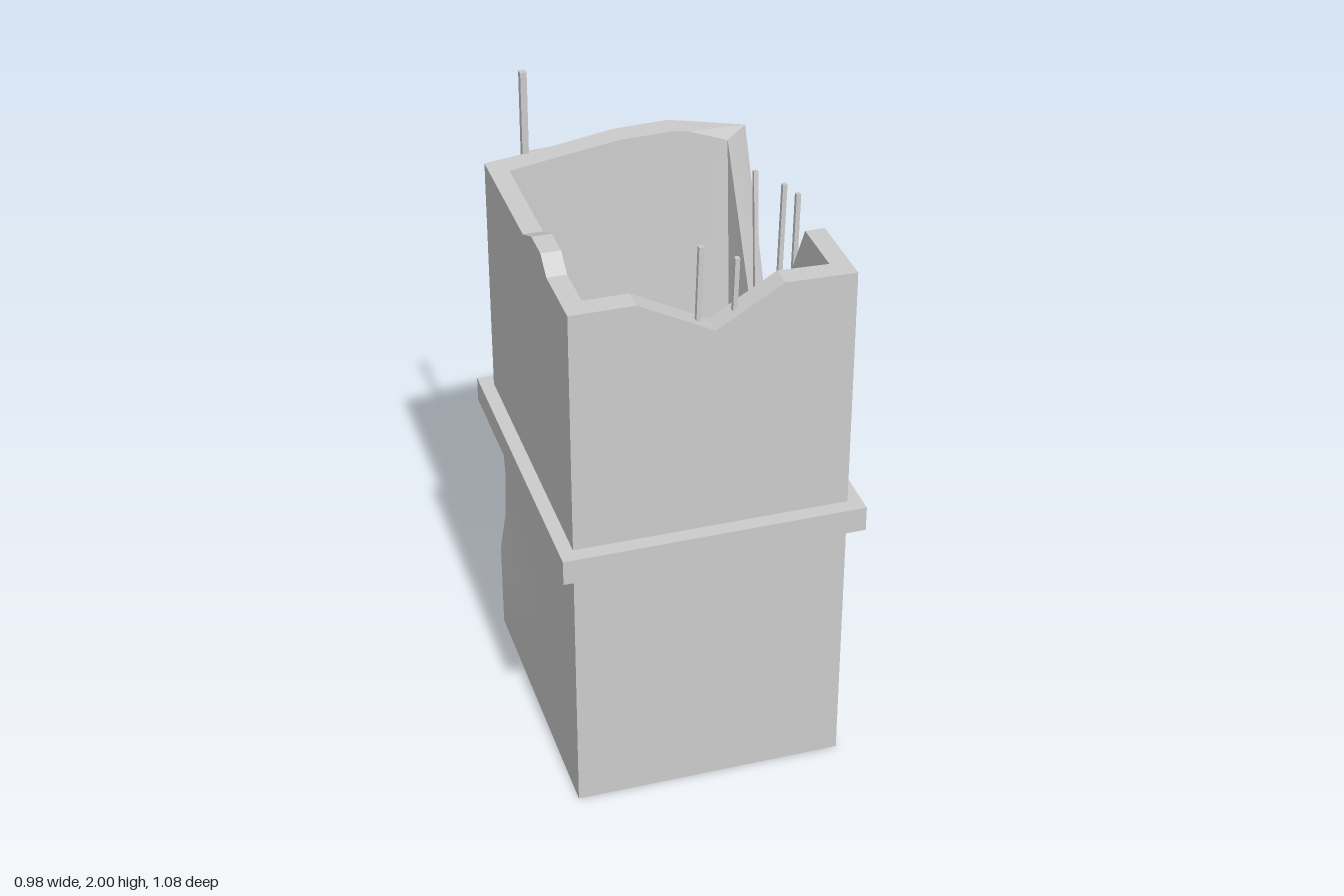
import * as THREE from 'three';
import { toCreasedNormals } from 'three/addons/utils/BufferGeometryUtils.js';

const material = new THREE.MeshStandardMaterial({ color: 0xcccccc });
const clamp = THREE.MathUtils.clamp;

function add(parent, name, geometry) {
  const mesh = new THREE.Mesh(geometry, material);
  mesh.name = name;
  parent.add(mesh);
  return mesh;
}

// Rectangular frame lying in the xy plane, extruded along +z
function frameGeometry(hw, hh, holeW, holeH, depth) {
  const rect = (T, w, h) => new T([[-w, -h], [w, -h], [w, h], [-w, h]].map(p => new THREE.Vector2(...p)));
  const shape = rect(THREE.Shape, hw, hh);
  shape.holes.push(rect(THREE.Path, holeW, holeH));
  return new THREE.ExtrudeGeometry(shape, { depth, bevelEnabled: false });
}

// Square bar between two points
function bar(parent, name, from, to, size) {
  const a = new THREE.Vector3(...from), b = new THREE.Vector3(...to);
  const dir = b.clone().sub(a);
  const mesh = add(parent, name, new THREE.BoxGeometry(size, dir.length(), size));
  mesh.position.copy(a).add(b).multiplyScalar(0.5);
  mesh.quaternion.setFromUnitVectors(new THREE.Vector3(0, 1, 0), dir.normalize());
}

// Broken rim, counter-clockwise from above: outer x, z, inner x, z, height
function rimPoints() {
  const front = [[-0.225, 1.72], [0.005, 1.6], [0.205, 1.72]];
  const right = [[0.2, 1.715], [0.08, 1.5], [-0.01, 1.28]];
  const back = [[0.21, 1.755], [0.16, 1.765], [-0.01, 1.765], [-0.25, 1.735]];
  const left = [[-0.01, 1.72], [0.09, 1.765], [0.19, 1.765], [0.25, 1.72]];
  return [
    [-0.42, 0.47, -0.36, 0.4, 1.72],
    ...front.map(([x, y]) => [x, 0.47, x, 0.4, y]),
    [0.42, 0.47, 0.36, 0.4, 1.715],
    ...right.map(([z, y]) => [0.42, z, 0.36, z, y]),
    [0.42, -0.24, 0.36, -0.2, 1.1],
    [0.42, -0.515, 0.335, -0.43, 1.705],
    // the back wall leans outwards towards this corner
    ...back.map(([x, y]) => [x, -0.47 - 0.045 * (x + 0.42) / 0.84, x, -0.4 - 0.03 * (x + 0.36) / 0.7, y]),
    [-0.42, -0.47, -0.36, -0.4, 1.72],
    ...left.map(([z, y]) => [-0.42, z, -0.36, z, y]),
  ];
}

// Hollow tower: rings run from the base up the outside, over the rim and down inside
function towerGeometry() {
  const rim = rimPoints(), n = rim.length;
  const floorY = 0.9;
  const levels = [[0, 0], [0.3, 0], [0.43, 0.02], [0.59, 0.025], [0.75, 0.02], [0.85, 0], [0.94, 0]];
  const rings = [rim.map(() => [0, 0, 0])];
  for (const [y, dent] of levels) {
    rings.push(rim.map(([x, z]) => {
      const worn = x === -0.42 && z === -0.47 ? dent : 0;
      return [x + worn, y, clamp(z, -0.47, 0.47)];
    }));
  }
  rings.push(rim.map(p => [p[0], p[4], p[1]]));
  rings.push(rim.map(p => [p[2], p[4], p[3]]));
  rings.push(rim.map(p => [clamp(p[2], -0.34, 0.34), floorY, clamp(p[3], -0.38, 0.38)]));
  rings.push(rim.map(() => [0, floorY, 0]));

  const index = [];
  for (let j = 0; j < rings.length - 1; j++) {
    for (let i = 0; i < n; i++) {
      // leave the window opening free in the back wall
      const mid = (rim[i][0] + rim[(i + 1) % n][0]) / 2;
      if (rings[j][i][1] === 0.43 && rim[i][1] < -0.46 && mid > -0.01 && mid < 0.21) continue;
      const k = (i + 1) % n;
      const a = j * n + i, b = j * n + k, c = b + n, d = a + n;
      index.push(a, b, c, a, c, d);
    }
  }
  const geometry = new THREE.BufferGeometry();
  geometry.setAttribute('position', new THREE.Float32BufferAttribute(rings.flat(2), 3));
  geometry.setIndex(index);
  return toCreasedNormals(geometry, 0.4);
}

export function createModel() {
  const model = new THREE.Group();
  model.name = 'ruinedTower';

  // Walls, ledge and window sit slightly turned
  const building = new THREE.Group();
  building.name = 'building';
  building.rotation.y = -0.054;
  model.add(building);
  add(building, 'walls', towerGeometry());

  const ledge = add(building, 'ledge', frameGeometry(0.463, 0.518, 0.41, 0.46, 0.08));
  ledge.rotation.x = -Math.PI / 2;
  ledge.position.y = 0.86;

  const windowGroup = new THREE.Group();
  windowGroup.name = 'window';
  windowGroup.position.set(0.1, 0.51, -0.5);
  building.add(windowGroup);
  add(windowGroup, 'windowFrame', frameGeometry(0.112, 0.082, 0.092, 0.062, 0.11));
  add(windowGroup, 'windowPanel', new THREE.BoxGeometry(0.22, 0.16, 0.02)).position.z = 0.11;

  // Bent pipe on the back wall
  const pipe = [
    [-0.265, 2, -0.495], [-0.265, 1.72, -0.498], [-0.02, 1.72, -0.508],
    [-0.02, 1.18, -0.503], [-0.265, 1.18, -0.503], [-0.265, 0.97, -0.503],
  ];
  for (let i = 0; i < pipe.length - 1; i++) {
    bar(model, 'pipeSection', pipe[i], pipe[i + 1], 0.02);
  }

  // Bare reinforcing rods in the broken wall tops
  const rods = [
    [[-0.063, 1.58, 0.435], [-0.055, 1.855, 0.435]],
    [[0.045, 1.58, 0.435], [0.052, 1.8, 0.435]],
    [[0.37, 1.44, 0.095], [0.377, 1.77, 0.095]],
    [[0.385, 1.16, -0.06], [0.4, 1.72, -0.06]],
    [[0.38, 1.06, -0.195], [0.395, 1.66, -0.275]],
  ];
  for (const [from, to] of rods) bar(model, 'reinforcingRod', from, to, 0.014);

  return model;
}
